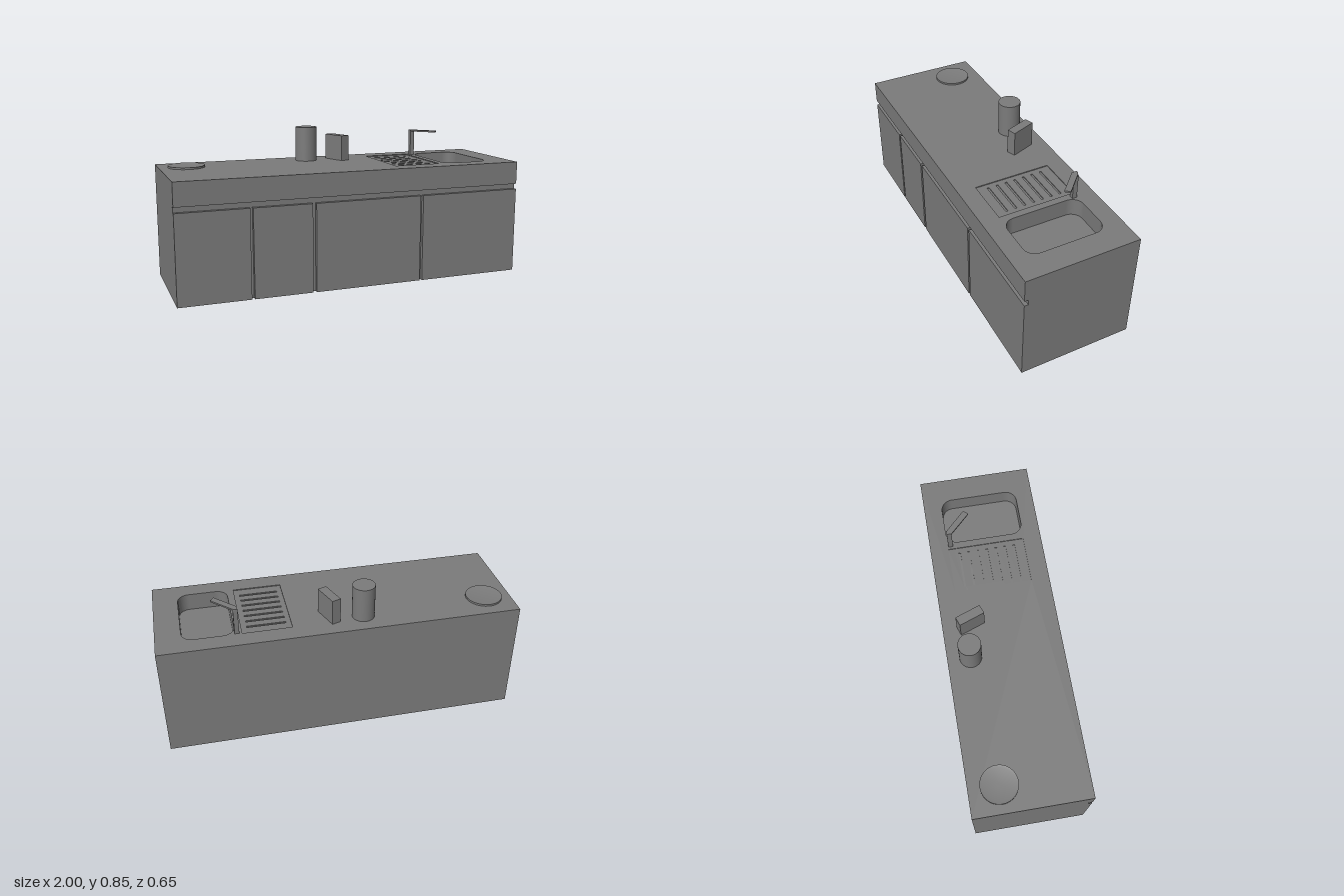
import * as THREE from 'three';
import { toCreasedNormals } from 'three/addons/utils/BufferGeometryUtils.js';

const W = 1, D = 0.323, TOP = 0.655;
const material = new THREE.MeshStandardMaterial({ color: 0x7b7b7b });

// Plan outlines use [x, z]; shape y is -z so that extrusion runs upward.
const trace = (path, pts) => {
  pts.forEach(([x, z], i) => (i ? path.lineTo(x, -z) : path.moveTo(x, -z)));
  path.closePath();
  return path;
};
const rect = (path, x0, x1, z0, z1) => trace(path, [[x0, z1], [x1, z1], [x1, z0], [x0, z0]]);

const roundedHole = (x0, x1, z0, z1, r) => {
  const p = new THREE.Path(), y0 = -z1, y1 = -z0, q = Math.PI / 2;
  p.moveTo(x0 + r, y0);
  p.lineTo(x1 - r, y0);
  p.absarc(x1 - r, y0 + r, r, -q, 0, false);
  p.lineTo(x1, y1 - r);
  p.absarc(x1 - r, y1 - r, r, 0, q, false);
  p.lineTo(x0 + r, y1);
  p.absarc(x0 + r, y1 - r, r, q, 2 * q, false);
  p.lineTo(x0, y0 + r);
  p.absarc(x0 + r, y0 + r, r, 2 * q, 3 * q, false);
  return p;
};

export function createModel() {
  const model = new THREE.Group();
  model.name = 'kitchenCounter';

  const add = (name, geometry, x = 0, y = 0, z = 0, parent = model) => {
    const mesh = new THREE.Mesh(geometry, material);
    mesh.name = name;
    mesh.position.set(x, y, z);
    parent.add(mesh);
    return mesh;
  };
  const box = (name, x0, x1, y0, y1, z0, z1, parent) =>
    add(name, new THREE.BoxGeometry(x1 - x0, y1 - y0, z1 - z0),
      (x0 + x1) / 2, (y0 + y1) / 2, (z0 + z1) / 2, parent);
  const slab = (name, shape, y0, y1, parent) => {
    const g = new THREE.ExtrudeGeometry(shape, { depth: y1 - y0, bevelEnabled: false, curveSegments: 10 });
    g.rotateX(-Math.PI / 2);
    return add(name, g, 0, y0, 0, parent);
  };

  // Carcass and doors, leaving a grip channel under the worktop
  box('carcass', -W, W, 0, 0.525, -D, 0.301);
  const doors = new THREE.Group();
  doors.name = 'doors';
  model.add(doors);
  [[-W, -0.606], [-0.59, -0.263], [-0.243, 0.378], [0.393, W]].forEach(([x0, x1], i) =>
    box(`door${i + 1}`, x0, x1, 0, 0.494, 0.301, D, doors));

  // Worktop in layers: sink basin through all, drain grooves, then drainer recess
  const worktop = new THREE.Group();
  worktop.name = 'worktop';
  model.add(worktop);
  const layer = (name, y0, y1, holes = []) => {
    const s = rect(new THREE.Shape(), -W, W, -D, D);
    s.holes.push(roundedHole(0.579, 0.861, -0.22, 0.225, 0.065), ...holes);
    slab(name, s, y0, y1, worktop);
  };
  const grooves = [];
  for (let i = -3; i <= 3; i++) {
    const z = i * 0.053;
    grooves.push(rect(new THREE.Path(), 0.295, 0.51, z - 0.006, z + 0.006));
  }
  box('sinkFloor', -W, W, 0.525, 0.555, -D, D, worktop);
  layer('sinkWalls', 0.555, 0.645);
  layer('drainGrooves', 0.645, 0.65, grooves);
  layer('drainerRecess', 0.65, TOP, [rect(new THREE.Path(), 0.268, 0.54, -0.22, 0.22)]);

  // Shallow plate with a slightly sunken centre
  const plate = [[0.1025, 0], [0.1025, 0.011], [0.087, 0.008], [0, 0.008]];
  const plateGeometry = new THREE.LatheGeometry(plate.map(([r, y]) => new THREE.Vector2(r, y)), 48);
  add('plate', toCreasedNormals(plateGeometry, 0.6), -0.848, TOP, -0.155);

  // Storage canister and knife block
  add('canister', new THREE.CylinderGeometry(0.0625, 0.0625, 0.198, 48), -0.131, TOP + 0.099, -0.193);
  const block = add('knifeBlock', new THREE.BoxGeometry(0.052, 0.147, 0.149), 0.054, TOP + 0.0735, -0.164);
  block.rotation.y = 0.35;

  // Tap with an angled flat spout
  const tap = new THREE.Group();
  tap.name = 'tap';
  model.add(tap);
  box('tapPost', 0.555, 0.58, TOP, 0.8, -0.217, -0.19, tap);
  slab('tapSpout', trace(new THREE.Shape(), [
    [0.555, -0.19], [0.666, -0.078], [0.688, -0.104], [0.58, -0.212], [0.568, -0.219], [0.555, -0.219],
  ]), 0.8, 0.809, tap);

  return model;
}
